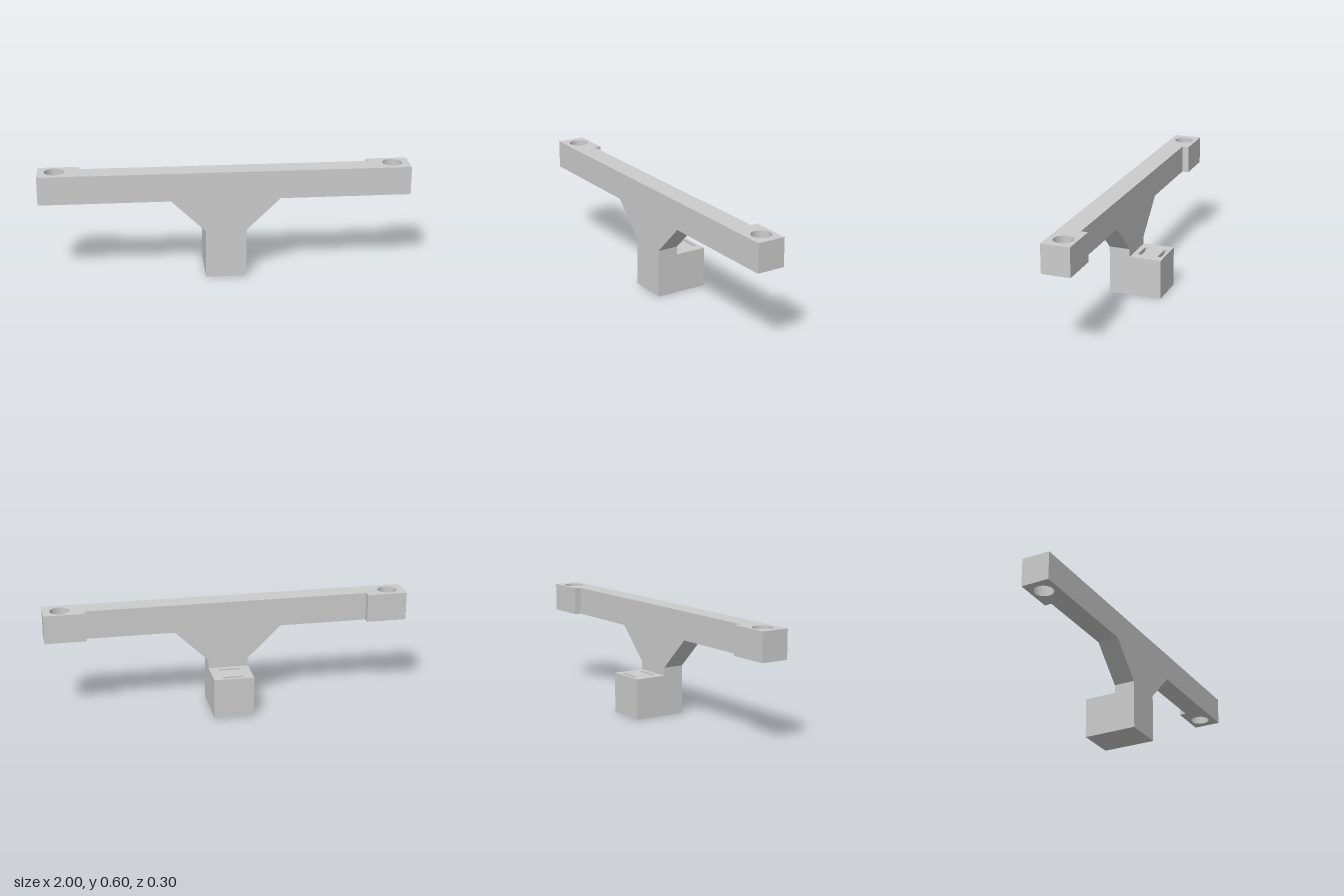
import * as THREE from 'three';

const FRONT = 0.148, WEB_BACK = 0.031, PAD_BACK = -0.007, FOOT_BACK = -0.147;
const BEAM_Y = 0.446, TOP_Y = 0.602, FOOT_Y = 0.223, SLOT_FLOOR = 0.11;

const material = new THREE.MeshStandardMaterial({ color: 0xcccccc });

function part(name, geometry) {
  const mesh = new THREE.Mesh(geometry, material);
  mesh.name = name;
  return mesh;
}

const polygon = (points) => new THREE.Shape(points.map(([x, y]) => new THREE.Vector2(x, y)));

// Extrude a plan drawn in (x, -z) upwards from y0 to y1
function extrudeUp(shape, y0, y1) {
  const g = new THREE.ExtrudeGeometry(shape, { depth: y1 - y0, bevelEnabled: false, curveSegments: 32 });
  return g.rotateX(-Math.PI / 2).translate(0, y0, 0);
}

// Rounded slot centred on x = 0 at depth z
function slotPath(z, halfLength, r) {
  const p = new THREE.Path();
  const c = halfLength - r;
  p.absarc(c, -z, r, -Math.PI / 2, Math.PI / 2, false);
  p.absarc(-c, -z, r, Math.PI / 2, Math.PI * 1.5, false);
  p.closePath();
  return p;
}

export function createModel() {
  const group = new THREE.Group();
  group.name = 'bracket';

  // Crossbar with thicker end pads and a vertical bolt hole in each
  const beam = polygon([
    [-1, -FRONT], [1, -FRONT], [1, -PAD_BACK], [0.778, -PAD_BACK],
    [0.778, -WEB_BACK], [-0.778, -WEB_BACK], [-0.778, -PAD_BACK], [-1, -PAD_BACK],
  ]);
  for (const side of [-1, 1]) {
    beam.holes.push(new THREE.Path().absarc(side * 0.909, -0.065, 0.053, 0, Math.PI * 2, true));
  }
  group.add(part('crossbar', extrudeUp(beam, BEAM_Y, TOP_Y)));

  // Stem widening into sloped gussets under the crossbar
  const stem = polygon([
    [-0.11, 0], [0.11, 0], [0.11, 0.268], [0.294, BEAM_Y], [-0.294, BEAM_Y], [-0.11, 0.268],
  ]);
  const stemGeometry = new THREE.ExtrudeGeometry(stem, { depth: FRONT - WEB_BACK, bevelEnabled: false });
  group.add(part('stem', stemGeometry.translate(0, 0, WEB_BACK)));

  // Foot block behind the stem, with two blind slots in its top
  const footPlan = () => polygon([
    [-0.11, -WEB_BACK], [0.11, -WEB_BACK], [0.11, -FOOT_BACK], [-0.11, -FOOT_BACK],
  ]);
  group.add(part('footBase', extrudeUp(footPlan(), 0, SLOT_FLOOR)));
  const slotted = footPlan();
  for (const z of [-0.12, -0.008]) slotted.holes.push(slotPath(z, 0.059, 0.01));
  group.add(part('slottedFootTop', extrudeUp(slotted, SLOT_FLOOR, FOOT_Y)));

  return group;
}
